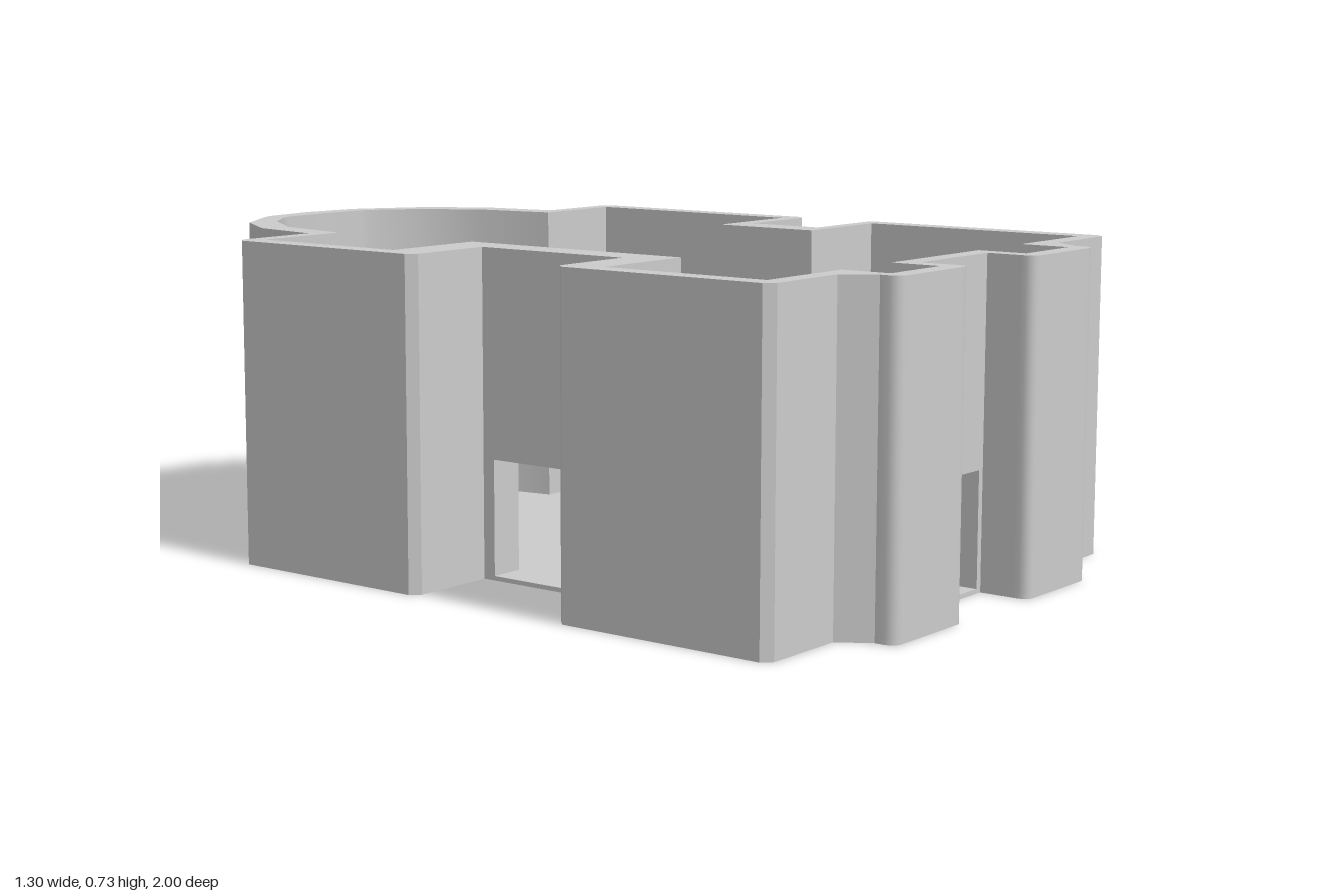
import * as THREE from 'three';
import { toCreasedNormals } from 'three/addons/utils/BufferGeometryUtils.js';

const HEIGHT = 0.727, FLOOR = 0.01, DOOR_TOP = 0.267;
const material = new THREE.MeshStandardMaterial({ color: 0xcccccc });

// Plan points are [x, z].
const mirror = pts => pts.map(([x, z]) => [-x, z]).reverse();

// Quarter-round corner, swept from a start angle in degrees.
function roundCorner(cx, cz, r, start) {
  return [0, 1, 2, 3, 4].map(i => {
    const a = THREE.MathUtils.degToRad(start + i * 22.5);
    return [cx + r * Math.cos(a), cz + r * Math.sin(a)];
  });
}

// Half of the apse on +x, from the crown to its springing.
const apseOuter = [[0.138, -0.984], [0.17, -0.97], [0.307, -0.88], [0.397, -0.743], [0.427, -0.56]];
const apseInner = [[0.127, -0.933], [0.155, -0.92], [0.24, -0.855], [0.335, -0.72], [0.37, -0.52]];

// Half of the front facade on +x: chamfered corner, rounded bay, recess.
const frontOuter = [
  [0.65, 0.865], [0.63, 0.885], [0.43, 0.885], [0.385, 0.953],
  ...roundCorner(0.36, 0.975, 0.025, 0), [0.345, 1],
  [0.165, 1], ...roundCorner(0.152, 0.978, 0.022, 90), [0.13, 0.965], [0.13, 0.885],
];
const frontInner = [[0.6, 0.84], [0.35, 0.84], [0.35, 0.955], [0.17, 0.955], [0.17, 0.84]];

// Wall run from the side door, round the apse and the +x side, to the front door.
const longOuter = [
  [-0.43, 0], [-0.43, -0.03], [-0.63, -0.03], [-0.65, -0.05], [-0.65, -0.54], [-0.63, -0.56],
  ...mirror(apseOuter), [0, -1], ...apseOuter,
  [0.63, -0.56], [0.65, -0.54], [0.65, 0.05], [0.63, 0.07], [0.425, 0.07],
  [0.425, 0.255], [0.63, 0.255], [0.65, 0.275], ...frontOuter, [0.115, 0.885],
];
const longInner = [
  [-0.35, 0], [-0.35, -0.13], [-0.6, -0.13], [-0.6, -0.52],
  ...mirror(apseInner), [0, -0.94], ...apseInner,
  [0.6, -0.52], [0.6, 0.03], [0.35, 0.03], [0.35, 0.29], [0.6, 0.29], ...frontInner, [0.115, 0.84],
];

// Wall run from the front door round to the side door.
const shortOuter = [
  [-0.12, 0.885], ...mirror(frontOuter), [-0.65, 0.375], [-0.63, 0.355], [-0.43, 0.355], [-0.43, 0.32],
];
const shortInner = [[-0.12, 0.84], ...mirror(frontInner), [-0.6, 0.445], [-0.35, 0.445], [-0.35, 0.32]];

// Closed plan of a wall from its two faces.
const wallPlan = (outer, inner) => [...outer, ...inner.slice().reverse()];

// Extrudes a plan upward between two heights.
function slab(name, plan, y0, y1) {
  const shape = new THREE.Shape(plan.map(([x, z]) => new THREE.Vector2(x, -z)));
  const geometry = new THREE.ExtrudeGeometry(shape, { depth: y1 - y0, bevelEnabled: false });
  geometry.rotateX(-Math.PI / 2).translate(0, y0, 0);
  const mesh = new THREE.Mesh(toCreasedNormals(geometry, THREE.MathUtils.degToRad(30)), material);
  mesh.name = name;
  return mesh;
}

export function createModel() {
  const group = new THREE.Group();
  group.name = 'rooflessBuilding';
  group.add(
    slab('floor', [...longOuter, ...shortOuter], 0, FLOOR),
    slab('longWall', wallPlan(longOuter, longInner), FLOOR, HEIGHT),
    slab('shortWall', wallPlan(shortOuter, shortInner), FLOOR, HEIGHT),
    // walls over the two doorways
    slab('frontLintel', [[-0.12, 0.84], [0.115, 0.84], [0.115, 0.885], [-0.12, 0.885]], DOOR_TOP, HEIGHT),
    slab('sideLintel', [[-0.43, 0], [-0.35, 0], [-0.35, 0.32], [-0.43, 0.32]], DOOR_TOP, HEIGHT),
  );
  return group;
}
